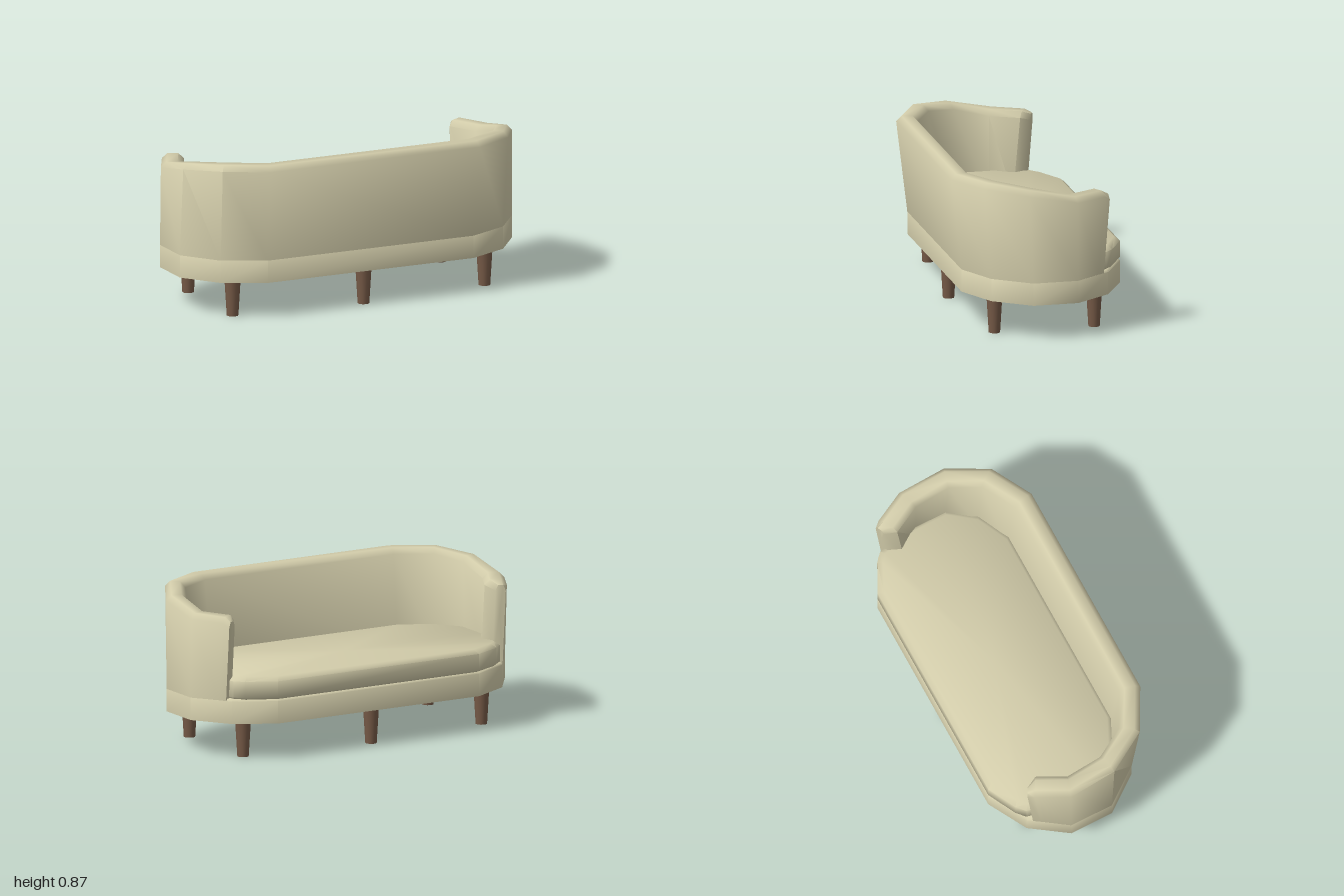
import * as THREE from 'three';
import { toCreasedNormals } from 'three/addons/utils/BufferGeometryUtils.js';

// Skin a series of closed rings of [x, y, z] points and cap both ends
function loft(rings) {
  const n = rings[0].length, pos = rings.flat(), idx = [];
  for (let i = 0; i < rings.length - 1; i++) {
    for (let j = 0; j < n; j++) {
      const k = (j + 1) % n, a = i * n + j, b = i * n + k;
      idx.push(a, b, b + n, a, b + n, a + n);
    }
  }
  const centre = ring => [0, 1, 2].map(c => ring.reduce((s, p) => s + p[c], 0) / n);
  const first = pos.length, last = first + 1, top = (rings.length - 1) * n;
  const all = [...pos, centre(rings[0]), centre(rings[rings.length - 1])];
  for (let j = 0; j < n; j++) {
    const k = (j + 1) % n;
    idx.push(first, k, j, last, top + j, top + k);
  }
  const g = new THREE.BufferGeometry();
  g.setAttribute('position', new THREE.Float32BufferAttribute(all.flat(), 3));
  g.setIndex(idx);
  return toCreasedNormals(g, 1.0);
}

// Stack a mirrored half outline at several [height, inset] levels
function pad(half, levels) {
  const outline = [...half, ...half.map(([x, z]) => [-x, z]).reverse()];
  const zs = half.map(p => p[1]);
  const zMid = (Math.max(...zs) + Math.min(...zs)) / 2, zHalf = Math.max(...zs) - zMid;
  const xHalf = Math.max(...half.map(p => p[0]));
  return loft(levels.map(([y, inset]) => outline.map(([x, z]) =>
    [x * (1 - inset / xHalf), y, zMid + (z - zMid) * (1 - inset / zHalf)])));
}

export function createModel() {
  const group = new THREE.Group();
  const fabric = new THREE.MeshStandardMaterial({ color: 0xd2ccaa });
  fabric.name = 'beige fabric';
  const wood = new THREE.MeshStandardMaterial({ color: 0x765a47 });
  wood.name = 'brown wood';
  const add = (name, geometry, material) => {
    const mesh = new THREE.Mesh(geometry, material);
    mesh.name = name;
    group.add(mesh);
    return mesh;
  };

  // Seat base with a softened upper rim
  add('seatBase', pad(
    [[0.62, 0.41], [0.85, 0.30], [1, 0.10], [1, -0.15], [0.86, -0.35], [0.64, -0.47]],
    [[0.2, 0], [0.325, 0], [0.335, 0.012]]), fabric);

  // Cushion, tucked in behind the arms
  add('seatCushion', pad(
    [[0.60, 0.32], [0.78, 0.23], [0.89, 0.08], [0.89, -0.12], [0.848, -0.345], [0.80, -0.388], [0.64, -0.47]],
    [[0.33, 0.015], [0.345, 0], [0.435, 0], [0.457, 0.028]]), fabric);

  // Wrap-around back and arms: upper outer, upper inner, lower outer, lower inner (x, z), height
  const stations = [
    [[0.88, -0.355], [0.83, -0.33], [0.88, -0.322], [0.83, -0.295], 0.768],
    [[0.905, -0.325], [0.80, -0.265], [0.905, -0.285], [0.80, -0.225], 0.79],
    [[0.995, -0.15], [0.88, -0.11], [1, -0.15], [0.88, -0.11], 0.79],
    [[0.99, 0.12], [0.88, 0.09], [1, 0.10], [0.88, 0.07], 0.84],
    [[0.86, 0.345], [0.79, 0.25], [0.85, 0.30], [0.77, 0.21], 0.865],
    [[0.63, 0.47], [0.60, 0.355], [0.62, 0.41], [0.59, 0.295], 0.865],
  ];
  const section = ([u, i, l, k, h]) => {
    const across = (t, y) => [u[0] + (i[0] - u[0]) * t, y, u[1] + (i[1] - u[1]) * t];
    return [
      [l[0], 0.325, l[1]], across(0, h - 0.03), across(0.25, h),
      across(0.75, h), across(1, h - 0.03), [k[0], 0.325, k[1]],
    ];
  };
  const half = stations.map(section);
  const mirrored = half.map(ring => ring.map(([x, y, z]) => [-x, y, z])).reverse();
  add('backAndArms', loft([...half, ...mirrored]), fabric);

  // Six tapered legs
  const legShape = new THREE.CylinderGeometry(0.045, 0.032, 0.21, 10);
  for (const [x, front, back] of [[-0.76, -0.297, 0.26], [-0.005, -0.383, 0.33], [0.757, -0.297, 0.26]]) {
    add('frontLeg', legShape, wood).position.set(x, 0.105, front);
    add('backLeg', legShape, wood).position.set(x, 0.105, back);
  }
  return group;
}
